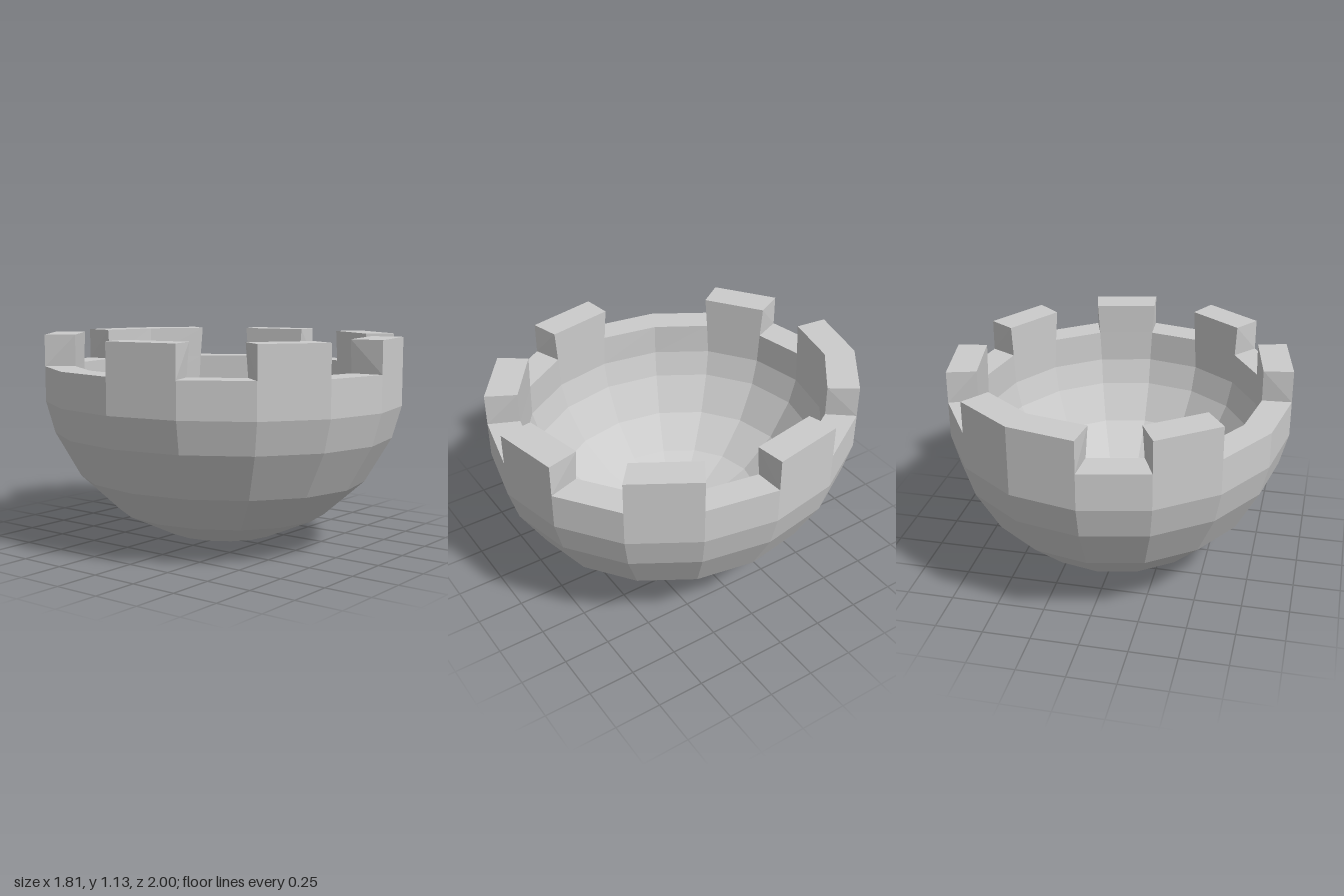
import * as THREE from 'three';

const SIDES = 16, RX = 0.905, RZ = 1, NOTCH = 0.96, TOP = 1.13;
const INNER = 0.83, CENTRE = 0.87; // inner shell is the outer one scaled about this height
const raised = [0, 2, 4, 6, 7, 9, 12, 14]; // wall segments carrying a merlon
const isHigh = (i) => raised.includes((i + SIDES) % SIDES);

// Outer profile from the bottom up: [relative radius, height]
const profile = [[0, 0], [0.31, 0.045], [0.588, 0.166], [0.809, 0.36], [0.951, 0.6], [1, 0.77]];
const outerRings = [...profile, [1, NOTCH]];
const innerRings = [...profile.map(([r, y]) => [r * INNER, CENTRE - (CENTRE - y) * INNER]), [INNER, NOTCH]];

// Point on a ring; angle runs from the front (+z) towards +x
function point(i, r, y, shift = 0) {
  const a = (i / SIDES) * Math.PI * 2 + shift;
  return [RX * r * Math.sin(a), y, RZ * r * Math.cos(a)];
}

// Inner corners of merlons flare a little sideways into the notches
function innerPoint(i, r, y) {
  const side = (isHigh(i - 1) ? 1 : 0) - (isHigh(i) ? 1 : 0);
  const flare = y === TOP ? 0.028 : y === NOTCH ? 0.012 : 0;
  return point(i, r, y, side * flare);
}

function quad(out, a, b, c, d) {
  out.push(...a, ...b, ...c, ...a, ...c, ...d);
}

function facetedMesh(name, positions) {
  const geometry = new THREE.BufferGeometry();
  geometry.setAttribute('position', new THREE.Float32BufferAttribute(positions, 3));
  geometry.computeVertexNormals();
  const mesh = new THREE.Mesh(geometry, new THREE.MeshStandardMaterial({ color: 0xcccccc, flatShading: true }));
  mesh.name = name;
  return mesh;
}

// Thick-walled bowl up to the notch floors
function makeBowl() {
  const out = [];
  for (let i = 0; i < SIDES; i++) {
    for (let k = 0; k < outerRings.length - 1; k++) {
      const [r0, y0] = outerRings[k], [r1, y1] = outerRings[k + 1];
      const [s0, v0] = innerRings[k], [s1, v1] = innerRings[k + 1];
      const o2 = point(i + 1, r1, y1), o3 = point(i, r1, y1);
      const n2 = innerPoint(i + 1, s1, v1), n3 = innerPoint(i, s1, v1);
      if (k === 0) {
        out.push(...point(i, r0, y0), ...o2, ...o3);
        out.push(...innerPoint(i, s0, v0), ...n3, ...n2);
      } else {
        quad(out, point(i, r0, y0), point(i + 1, r0, y0), o2, o3);
        quad(out, innerPoint(i + 1, s0, v0), innerPoint(i, s0, v0), n3, n2);
      }
    }
    // Notch floor
    if (!isHigh(i)) {
      quad(out, point(i, 1, NOTCH), point(i + 1, 1, NOTCH),
        innerPoint(i + 1, INNER, NOTCH), innerPoint(i, INNER, NOTCH));
    }
  }
  return facetedMesh('bowl', out);
}

// One raised block of the rim, with end faces only where it meets a notch
function makeMerlon(i) {
  const out = [], j = i + 1;
  const oL = point(i, 1, NOTCH), oR = point(j, 1, NOTCH);
  const oLT = point(i, 1, TOP), oRT = point(j, 1, TOP);
  const nL = innerPoint(i, INNER, NOTCH), nR = innerPoint(j, INNER, NOTCH);
  const nLT = innerPoint(i, INNER, TOP), nRT = innerPoint(j, INNER, TOP);
  quad(out, oL, oR, oRT, oLT);
  quad(out, nR, nL, nLT, nRT);
  quad(out, oLT, oRT, nRT, nLT);
  if (!isHigh(i - 1)) quad(out, oL, oLT, nLT, nL);
  if (!isHigh(j)) quad(out, oR, nR, nRT, oRT);
  return facetedMesh('merlon', out);
}

export function createModel() {
  const model = new THREE.Group();
  model.name = 'crenellatedBowl';
  model.add(makeBowl());
  const battlements = new THREE.Group();
  battlements.name = 'battlements';
  raised.forEach((i) => battlements.add(makeMerlon(i)));
  model.add(battlements);
  return model;
}
